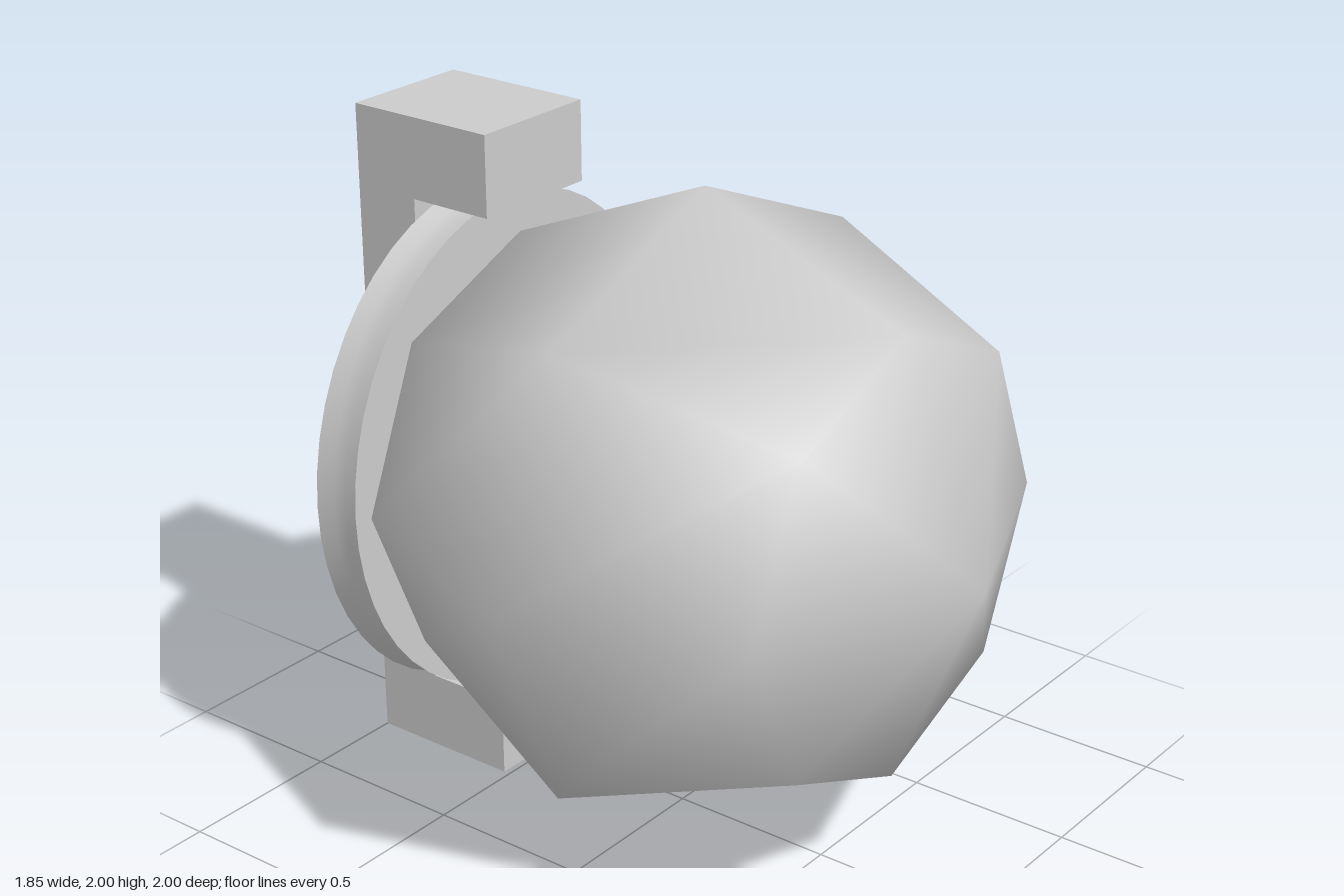
import * as THREE from 'three';

export function createModel() {
  const group = new THREE.Group();
  const material = new THREE.MeshStandardMaterial({ color: 0xcccccc });
  const add = (name, geometry, parent = group) => {
    const mesh = new THREE.Mesh(geometry, material);
    mesh.name = name;
    parent.add(mesh);
    return mesh;
  };
  const polygon = (Type, points) => new Type(points.map(([x, y]) => new THREE.Vector2(x, y)));
  const rect = (Type, w, y0, y1) => polygon(Type, [[-w, y0], [w, y0], [w, y1], [-w, y1]]);

  // Coarse smooth-shaded ball, poles along z
  const ball = add('ball', new THREE.SphereGeometry(0.925, 8, 4).rotateX(Math.PI / 2));
  ball.position.set(0, 1, 0.075);

  // Oval backing disc: flat front, waisted rim, shallow cone at the back
  const section = (points) => new THREE.LatheGeometry(
    points.map(([r, h]) => new THREE.Vector2(r, h)), 48).rotateX(-Math.PI / 2);
  const disc = new THREE.Group();
  disc.name = 'disc';
  disc.position.y = 1;
  disc.scale.x = 0.9;
  group.add(disc);
  // Lathe height h maps to z = -h, so profiles run from front to back
  add('discFront', section([[0, 0.615], [0.755, 0.615]]), disc);
  add('discRim', section([[0.755, 0.615], [0.748, 0.66], [0.75, 0.7], [0.765, 0.752]]), disc);
  add('discBack', section([[0.765, 0.752], [0, 0.818]]), disc);
  // The profile turns inside out on rotation-free winding, so show both sides
  disc.children.forEach((m) => {
    m.material = new THREE.MeshStandardMaterial({ color: 0xcccccc, side: THREE.DoubleSide });
  });

  // C-shaped bracket gripping the disc above and below
  const bracket = new THREE.Group();
  bracket.name = 'bracket';
  group.add(bracket);
  const half = 0.205;
  // Shape x becomes -z after the turn
  const clamp = polygon(THREE.Shape, [
    [0.52, 0], [0.89, 0], [0.89, 2], [0.52, 2],
    [0.52, 1.76], [0.79, 1.76], [0.79, 0.24], [0.52, 0.24],
  ]);
  add('bracketClamp', new THREE.ExtrudeGeometry(clamp, { depth: 2 * half, bevelEnabled: false })
    .translate(0, 0, -half).rotateY(Math.PI / 2), bracket);

  // Rear frame with the recessed slot
  const frame = rect(THREE.Shape, half, 0, 2);
  frame.holes.push(rect(THREE.Path, 0.14, 0.41, 1.59));
  add('bracketFrame', new THREE.ExtrudeGeometry(frame, { depth: 0.11, bevelEnabled: false })
    .translate(0, 0, -1), bracket);

  // Low oval boss on the slot floor
  const boss = add('slotBoss', new THREE.SphereGeometry(1, 24, 16), bracket);
  boss.scale.set(0.13, 0.27, 0.02);
  boss.position.set(0, 1, -0.89);

  return group;
}
